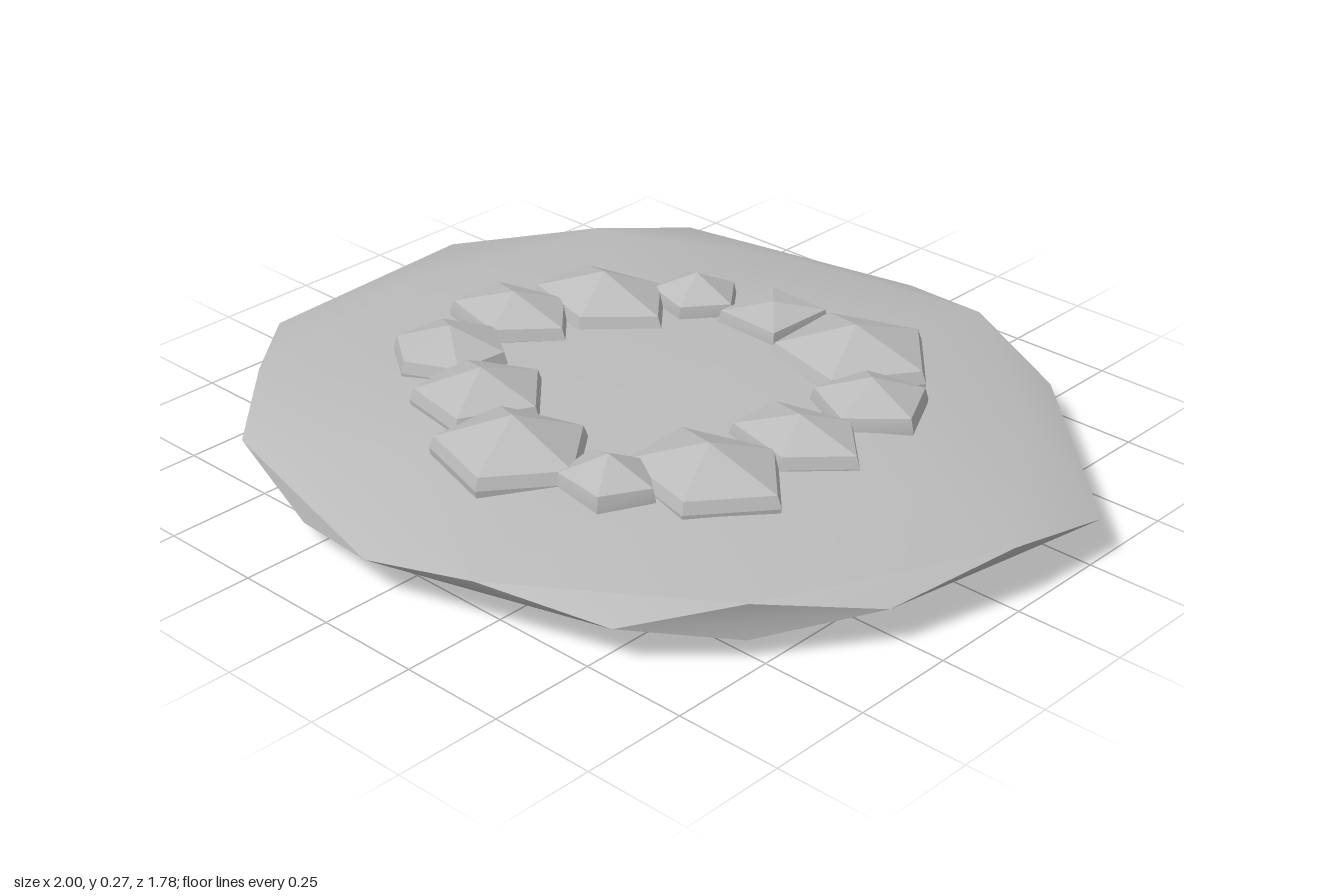
import * as THREE from 'three';
import { toCreasedNormals } from 'three/addons/utils/BufferGeometryUtils.js';

// Skin equal-length loops from bottom to top; fan caps close the ends.
function loft(loops, bottom, top, crease) {
  const n = loops[0].length;
  const points = [...loops.flat(), bottom, top];
  const low = loops.length * n, high = low + 1, last = low - n, index = [];
  for (let i = 0; i < n; i++) {
    const j = (i + 1) % n;
    for (let a = 0; a < last; a += n) {
      const b = a + n;
      index.push(a + i, b + i, a + j, a + j, b + i, b + j);
    }
    index.push(low, i, j, high, last + j, last + i);
  }
  const geo = new THREE.BufferGeometry();
  geo.setAttribute('position', new THREE.Float32BufferAttribute(points.flat(), 3));
  geo.setIndex(index);
  return toCreasedNormals(geo, crease);
}

// Uneven ring: one radius every 36 degrees, starting at step `first`
const polar = (radii, first, y, scale = 1) => radii.map((r, i) => {
  const a = (i + first) * Math.PI / 5;
  return [r * scale * Math.cos(a), y, r * scale * Math.sin(a)];
});

// Regular elliptical loop for a stone
const ellipse = (x, z, rx, rz, start, sides, y) => Array.from({ length: sides }, (_, i) => {
  const a = start + i * 2 * Math.PI / sides;
  return [x + rx * Math.cos(a), y, z + rz * Math.sin(a)];
});

// Island: radii below and above the rim, and the rim itself as x, z
const LOWER = [0.88, 0.89, 0.77, 0.87, 0.84, 0.92, 0.84, 0.85, 0.74, 0.88];
const UPPER = [0.9, 0.885, 0.74, 0.93, 0.85, 0.91, 0.78, 0.857, 0.81, 0.98];
const RIM = [[0.9, 0.3], [0.55, 0.73], [0, 0.89], [-0.58, 0.74], [-0.97, 0.31],
  [-1, -0.28], [-0.63, -0.77], [0, -0.89], [0.56, -0.7], [1, -0.28]];

// Stones: centre x, z, half width, half depth, turn in degrees, sides, peak height
const STONES = [
  [0.24, -0.38, 0.2, 0.185, -3, 5, 0.26],
  [-0.02, -0.395, 0.127, 0.132, 47, 4, 0.225],
  [-0.22, -0.35, 0.115, 0.105, 0, 5, 0.25],
  [-0.37, -0.19, 0.19, 0.145, 2, 5, 0.26],
  [-0.47, 0.01, 0.17, 0.13, 0, 5, 0.245],
  [-0.44, 0.24, 0.14, 0.14, 35, 6, 0.25],
  [-0.23, 0.34, 0.16, 0.16, -8, 5, 0.255],
  [0, 0.465, 0.19, 0.175, 0, 5, 0.27],
  [0.24, 0.42, 0.12, 0.105, -10, 5, 0.25],
  [0.37, 0.255, 0.2, 0.165, -2, 5, 0.26],
  [0.41, 0.01, 0.17, 0.125, 0, 5, 0.245],
  [0.42, -0.22, 0.14, 0.135, 10, 5, 0.25],
];

export function createModel() {
  const model = new THREE.Group();
  model.name = 'stoneRing';
  const grey = new THREE.MeshStandardMaterial({ color: 0xbbbbbb });
  grey.name = 'stone grey';

  // Flattened, uneven ground slab
  const slab = new THREE.Mesh(loft([
    polar(LOWER, 0, 0.015, 0.57),
    polar(LOWER, 0, 0.052),
    RIM.map(([x, z]) => [x, 0.1, z]),
    polar(UPPER, 1, 0.143),
    polar(UPPER, 1, 0.172, 0.6),
  ], [0, 0, 0], [0, 0.18, 0], 0.5), grey);
  slab.name = 'groundSlab';
  model.add(slab);

  // Ring of faceted stones: slanted sides below a shallow peak
  const stones = new THREE.Group();
  stones.name = 'stones';
  STONES.forEach(([x, z, rx, rz, turn, sides, peak], i) => {
    const loop = (scale, y) =>
      ellipse(x, z, rx * scale, rz * scale, THREE.MathUtils.degToRad(turn), sides, y);
    const stone = new THREE.Mesh(loft(
      [loop(0.97, 0.14), loop(1, 0.175), loop(0.94, 0.203)],
      [x, 0.14, z], [x, peak, z], 0.35), grey);
    stone.name = `stone${i + 1}`;
    stones.add(stone);
  });
  model.add(stones);
  return model;
}
